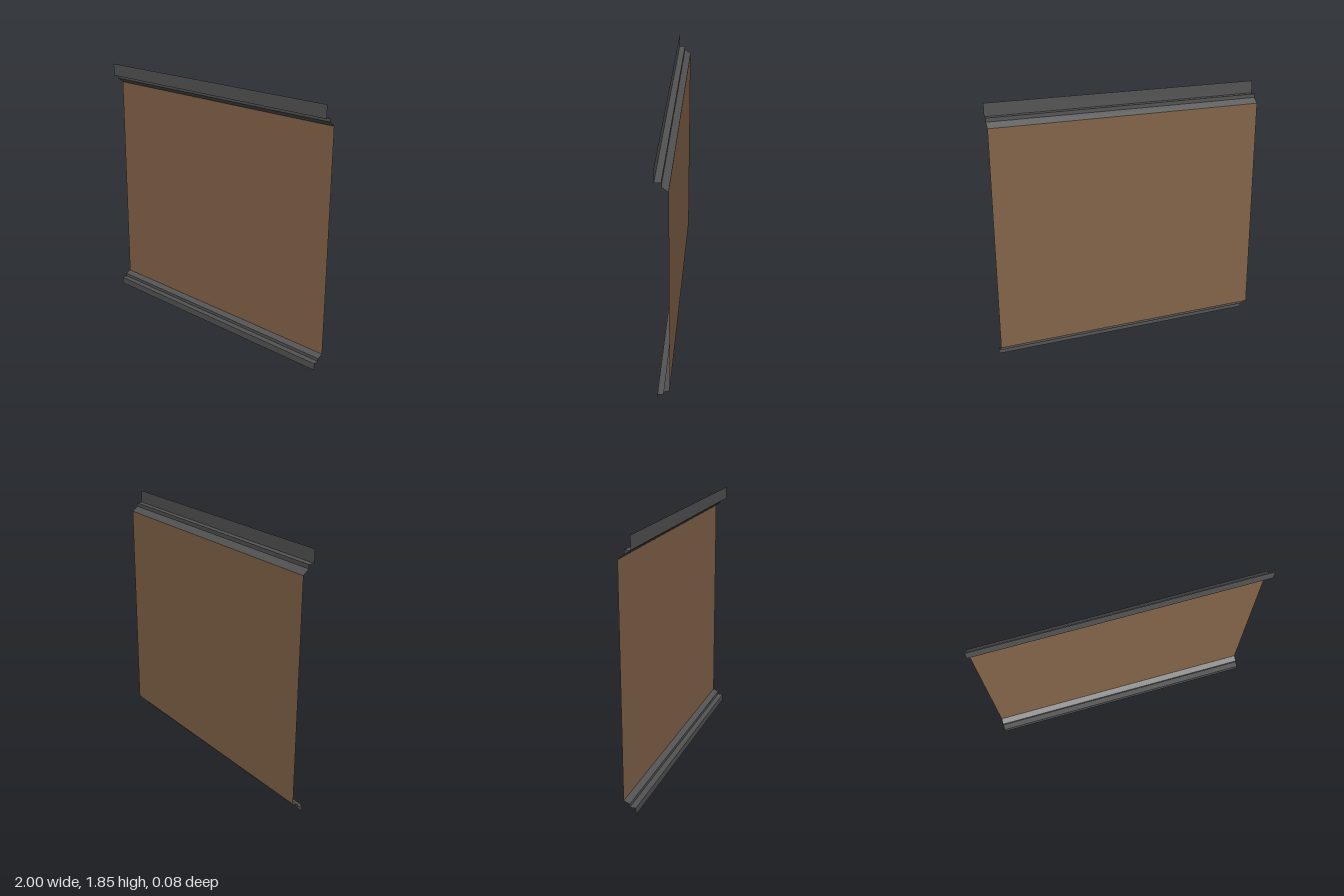
import * as THREE from 'three';

const HALF_WIDTH = 1;

// Sweeps an open [z, y] profile (listed bottom to top) along x as a thin sheet with crisp folds
function foldedSheet(name, profile, material) {
  const positions = [];
  for (let i = 0; i < profile.length - 1; i++) {
    const [z0, y0] = profile[i];
    const [z1, y1] = profile[i + 1];
    const a = [-HALF_WIDTH, y0, z0], b = [HALF_WIDTH, y0, z0];
    const c = [HALF_WIDTH, y1, z1], d = [-HALF_WIDTH, y1, z1];
    positions.push(...a, ...b, ...c, ...a, ...c, ...d);
  }
  const geometry = new THREE.BufferGeometry();
  geometry.setAttribute('position', new THREE.Float32BufferAttribute(positions, 3));
  geometry.computeVertexNormals();
  const mesh = new THREE.Mesh(geometry, material);
  mesh.name = name;
  return mesh;
}

export function createModel() {
  const wallBrown = new THREE.MeshStandardMaterial({ name: 'wallBrown', color: 0x85654a, side: THREE.DoubleSide });
  const trimGrey = new THREE.MeshStandardMaterial({ name: 'trimGrey', color: 0x545454, side: THREE.DoubleSide });

  const back = -0.042, middle = 0, front = 0.042;
  const group = new THREE.Group();
  group.name = 'wallPanel';

  // Skirting: fascia, flat ledge, short riser and bevel back to the wall
  group.add(foldedSheet('baseTrim', [
    [front, 0], [front, 0.05], [middle, 0.05], [middle, 0.073], [back, 0.09],
  ], trimGrey));

  // Recessed wall sheet
  group.add(foldedSheet('wallSheet', [[back, 0.09], [back, 1.697]], wallBrown));

  // Cornice: bevel forward, short riser, flat underside and tall fascia
  group.add(foldedSheet('topTrim', [
    [back, 1.697], [middle, 1.731], [middle, 1.758], [front, 1.758], [front, 1.848],
  ], trimGrey));

  return group;
}
